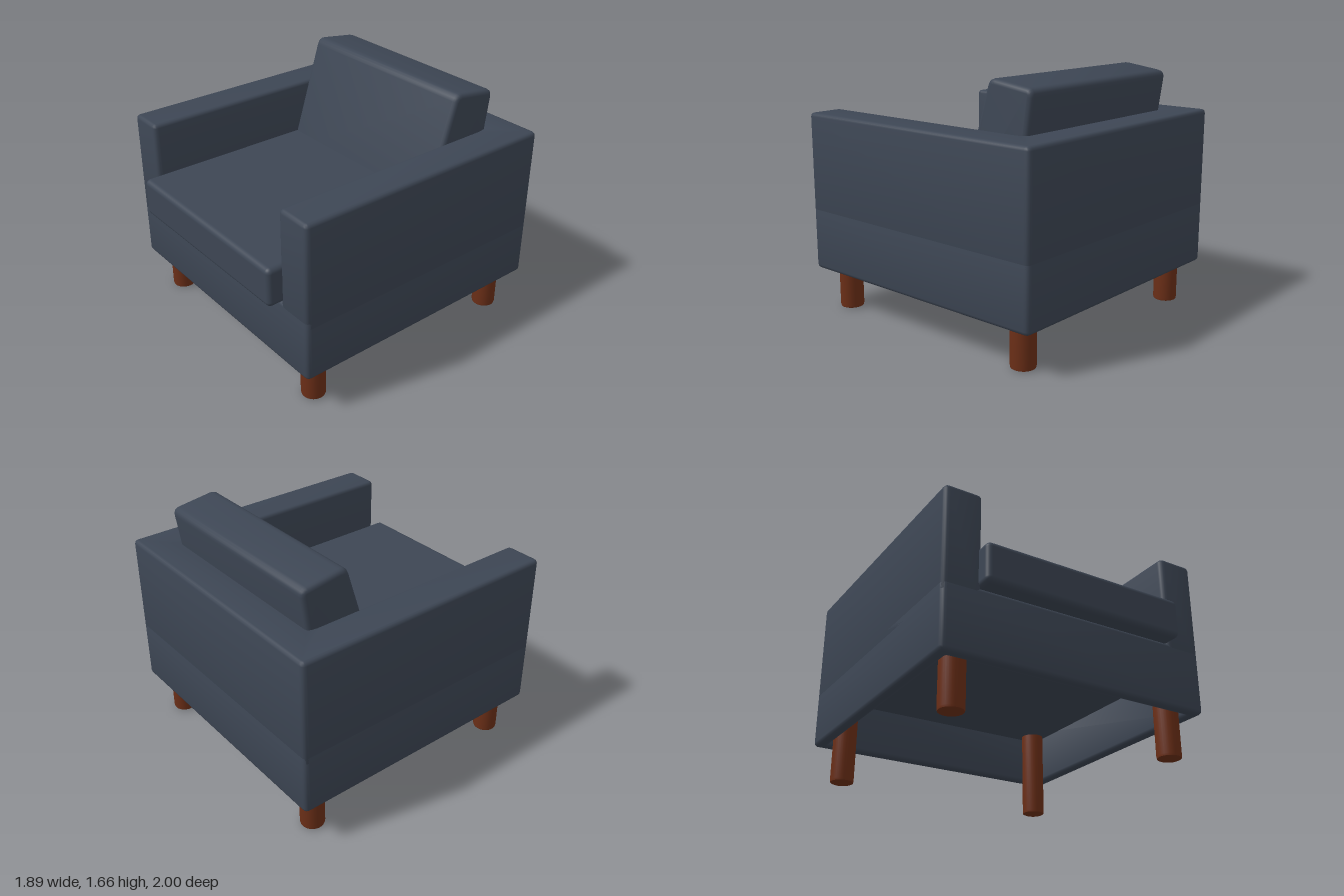
import * as THREE from 'three';
import { toCreasedNormals } from 'three/addons/utils/BufferGeometryUtils.js';
import { RoundedBoxGeometry } from 'three/addons/geometries/RoundedBoxGeometry.js';

const fabric = new THREE.MeshStandardMaterial({ color: 0x3d4654 });
const wood = new THREE.MeshStandardMaterial({ color: 0x6e3018 });

// Closed outline through the points with softened corners
function outline(points, radius, Type = THREE.Shape) {
  const path = new Type();
  const pts = points.map(([x, y]) => new THREE.Vector2(x, y));
  pts.forEach((p, i) => {
    const toward = (q) => q.clone().sub(p).setLength(radius).add(p);
    const a = toward(pts[(i + pts.length - 1) % pts.length]);
    const b = toward(pts[(i + 1) % pts.length]);
    if (i === 0) path.moveTo(a.x, a.y);
    else path.lineTo(a.x, a.y);
    path.quadraticCurveTo(p.x, p.y, b.x, b.y);
  });
  path.closePath();
  return path;
}

// Extrusion with rounded rims that keeps the outline's full size
function softExtrude(shape, length, bevel) {
  return new THREE.ExtrudeGeometry(shape, {
    depth: length - 2 * bevel, curveSegments: 4, bevelEnabled: true,
    bevelThickness: bevel, bevelSize: bevel, bevelOffset: -bevel, bevelSegments: 3,
  }).translate(0, 0, bevel);
}

// Plan outline (x, -z) raised from y0 to y1
function raise(shape, y0, y1) {
  const geo = softExtrude(shape, y1 - y0, 0.025).rotateX(-Math.PI / 2).translate(0, y0, 0);
  return toCreasedNormals(geo, 0.7);
}

export function createModel() {
  const group = new THREE.Group();
  const add = (name, geometry, material = fabric) => {
    const mesh = new THREE.Mesh(geometry, material);
    mesh.name = name;
    group.add(mesh);
    return mesh;
  };
  const W = 0.945, FRONT = 0.9, BACK = -1, ARM = 0.69, BACK_IN = -0.745;
  const rect = (inset) => [
    [-W + inset, -FRONT + inset], [W - inset, -FRONT + inset],
    [W - inset, -BACK - inset], [-W + inset, -BACK - inset],
  ];

  // Hollow base, open underneath
  const base = outline(rect(0), 0.035);
  base.holes.push(outline(rect(0.08), 0.01, THREE.Path));
  add('base', raise(base, 0.28, 0.72));

  // Deck closing the base below the seat
  const deck = new THREE.BoxGeometry(2 * W - 0.1, 0.08, FRONT - BACK - 0.1);
  add('deck', deck.translate(0, 0.66, (FRONT + BACK) / 2));

  // Arms and back in one U-shaped piece
  const frame = outline([
    [-W, -FRONT], [-ARM, -FRONT], [-ARM, -BACK_IN], [ARM, -BACK_IN],
    [ARM, -FRONT], [W, -FRONT], [W, -BACK], [-W, -BACK],
  ], 0.035);
  add('armsAndBack', raise(frame, 0.63, 1.355));

  // Seat cushion, overhanging the front
  const seat = new RoundedBoxGeometry(1.425, 0.265, 1.78, 4, 0.035);
  add('seatCushion', seat.translate(0, 0.855, 0.11));

  // Leaning, tapered back cushion from its side profile (z, y)
  const side = outline([[-0.215, 0.8], [-0.487, 1.668], [-0.818, 1.622], [-0.70, 0.8]], 0.05);
  const pillow = softExtrude(side, 1.4, 0.03).rotateY(-Math.PI / 2).translate(0.7, 0, 0);
  add('backCushion', toCreasedNormals(pillow, 0.7));

  // Round legs reaching up to the deck
  const profile = [[0, 0], [0.066, 0], [0.077, 0.005], [0.08, 0.018], [0.08, 0.63]];
  const leg = toCreasedNormals(
    new THREE.LatheGeometry(profile.map(([x, y]) => new THREE.Vector2(x, y)), 28), 0.7);
  for (const x of [-0.78, 0.78]) {
    for (const z of [-0.83, 0.73]) {
      const name = (z > 0 ? 'front' : 'back') + (x > 0 ? 'Left' : 'Right') + 'Leg';
      add(name, leg, wood).position.set(x, 0, z);
    }
  }
  return group;
}
